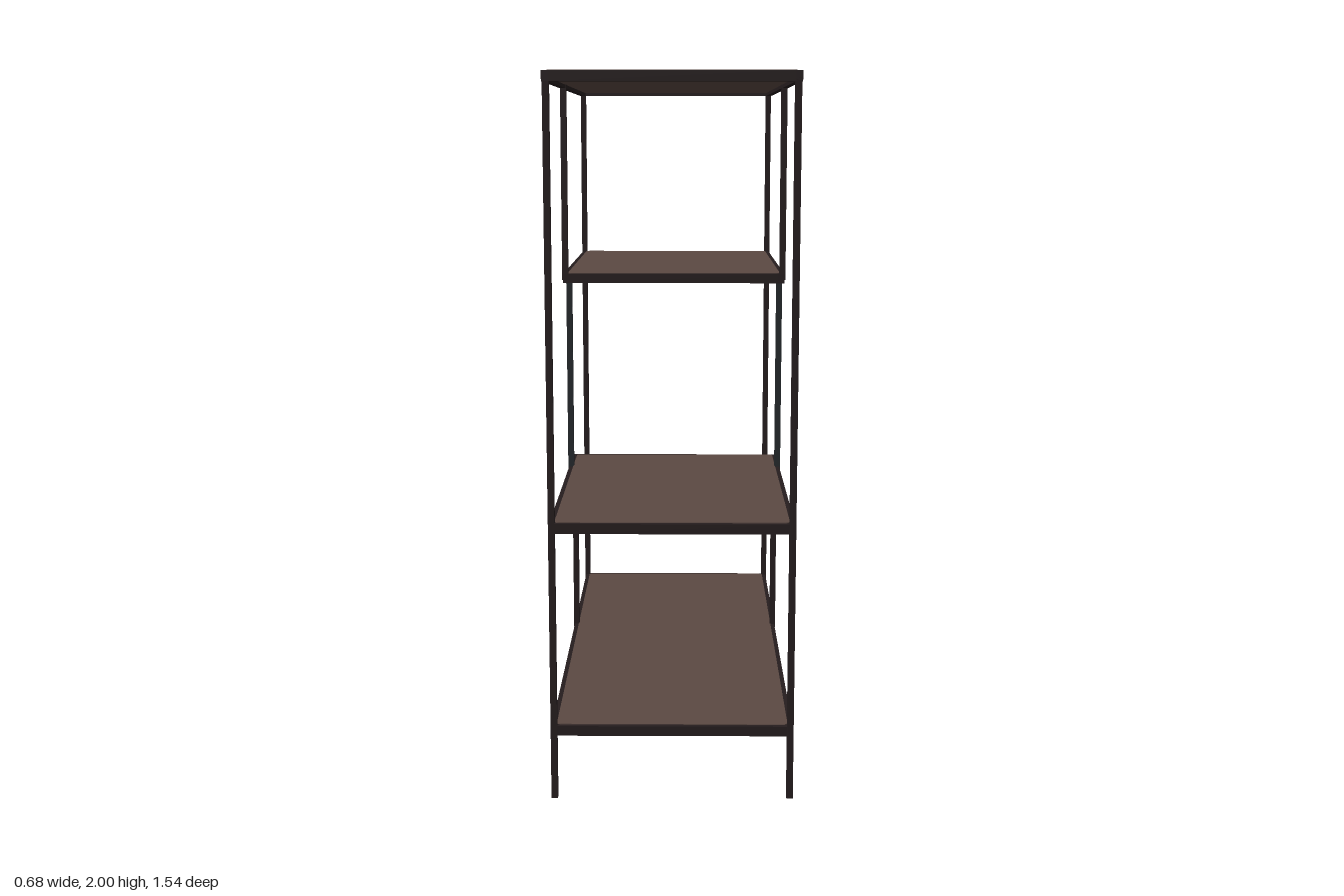
import * as THREE from 'three';

export function createModel() {
  const model = new THREE.Group();
  model.name = 'shelvingUnit';

  const wood = new THREE.MeshStandardMaterial({ color: 0x5b4943 });
  wood.name = 'brown wood';
  const metal = new THREE.MeshStandardMaterial({ color: 0x251d1e });
  metal.name = 'dark frame';
  const steel = new THREE.MeshStandardMaterial({ color: 0x24282b });
  steel.name = 'blue-black steel';

  const POST = 0.018, RAIL = 0.03, RIM = 0.018;
  const POST_X = 0.329, POST_Z = 0.762;

  function box(parent, name, mat, w, h, d, x, y, z) {
    const mesh = new THREE.Mesh(new THREE.BoxGeometry(w, h, d), mat);
    mesh.position.set(x, y, z);
    mesh.name = name;
    parent.add(mesh);
  }

  // Board with slightly rounded corners, lying flat
  function panelGeometry(w, d, t, r) {
    const s = new THREE.Shape(), a = w / 2, b = d / 2;
    s.moveTo(a, b - r);
    s.absarc(a - r, b - r, r, 0, Math.PI / 2);
    s.absarc(-a + r, b - r, r, Math.PI / 2, Math.PI);
    s.absarc(-a + r, -b + r, r, Math.PI, Math.PI * 1.5);
    s.absarc(a - r, -b + r, r, Math.PI * 1.5, Math.PI * 2);
    const geo = new THREE.ExtrudeGeometry(s, { depth: t, bevelEnabled: false, curveSegments: 4 });
    return geo.rotateX(-Math.PI / 2);
  }

  // Shelf: four rails around an inset board
  function shelf(name, top, halfX, zBack, zFront) {
    const g = new THREE.Group();
    g.name = name;
    const depth = zFront - zBack, zMid = (zFront + zBack) / 2;
    const h = RAIL - 0.002, y = top - 0.002 - h / 2;
    for (const s of [-1, 1]) {
      box(g, 'sideRail', metal, RIM, h, depth, s * (halfX - RIM / 2), y, zMid);
      box(g, 'endRail', metal, halfX * 2 - RIM * 2, h, RIM, 0, y, zMid + s * (depth / 2 - RIM / 2));
    }
    const board = new THREE.Mesh(panelGeometry(halfX * 2 - 0.026, depth - 0.026, 0.02, 0.012), wood);
    board.position.set(0, top - 0.02, zMid);
    board.name = 'board';
    g.add(board);
    model.add(g);
  }

  shelf('topShelf', 2.0, 0.34, -0.771, 0.771);
  shelf('upperShelf', 1.42, 0.335, -0.77, 0.177);
  shelf('lowerShelf', 0.791, 0.335, -0.175, 0.77);
  shelf('bottomShelf', 0.213, 0.335, -0.77, 0.77);

  // Uprights, mirrored left and right
  function posts(name, mat, z, y0, y1) {
    for (const s of [-1, 1])
      box(model, name, mat, POST, y1 - y0, POST, s * POST_X, (y0 + y1) / 2, z);
  }
  posts('frontLeg', metal, POST_Z, 0, 1.98);
  posts('backLeg', metal, -POST_Z, 0, 1.98);
  posts('upperPost', metal, 0.167, 1.4, 1.98);
  posts('middlePost', steel, 0.01, 0.78, 1.4);
  posts('lowerPost', metal, -0.165, 0.2, 0.775);

  return model;
}
